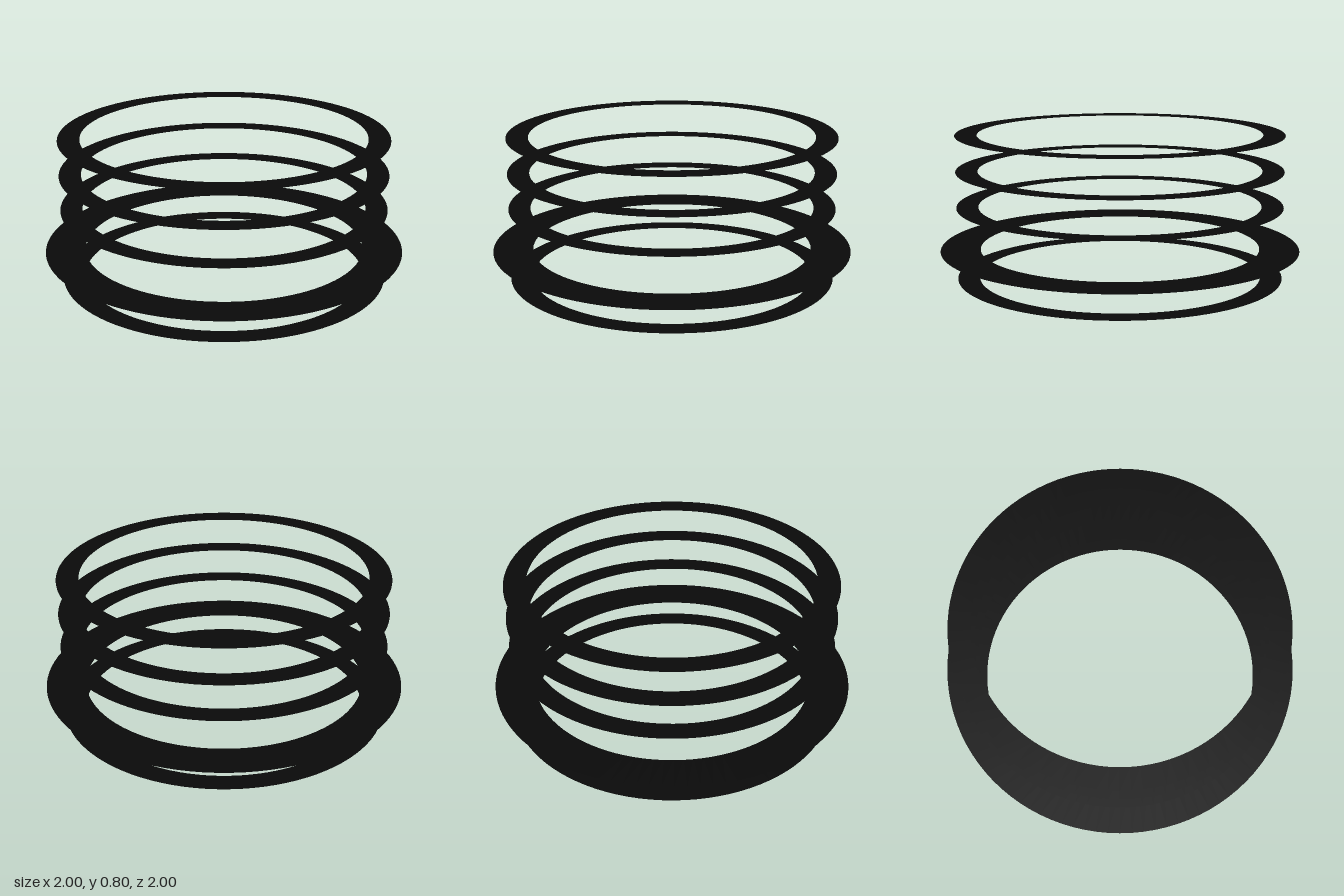
import * as THREE from 'three';

export function createModel() {
  const group = new THREE.Group();
  const material = new THREE.MeshStandardMaterial({ color: 0x0a0a0a, side: THREE.DoubleSide });

  // flat horizontal ring, paper thin
  function addRing(name, inner, outer, y) {
    const geometry = new THREE.RingGeometry(inner, outer, 96).rotateX(-Math.PI / 2);
    const ring = new THREE.Mesh(geometry, material);
    ring.name = name;
    ring.position.y = y;
    group.add(ring);
  }

  // narrow rings stacked above one another
  [0, 0.4, 0.6, 0.8].forEach((y, i) => addRing('narrowRing' + (i + 1), 0.787, 0.908, y));

  // wide ring near the bottom
  addRing('wideRing', 0.78, 1, 0.16);

  return group;
}
